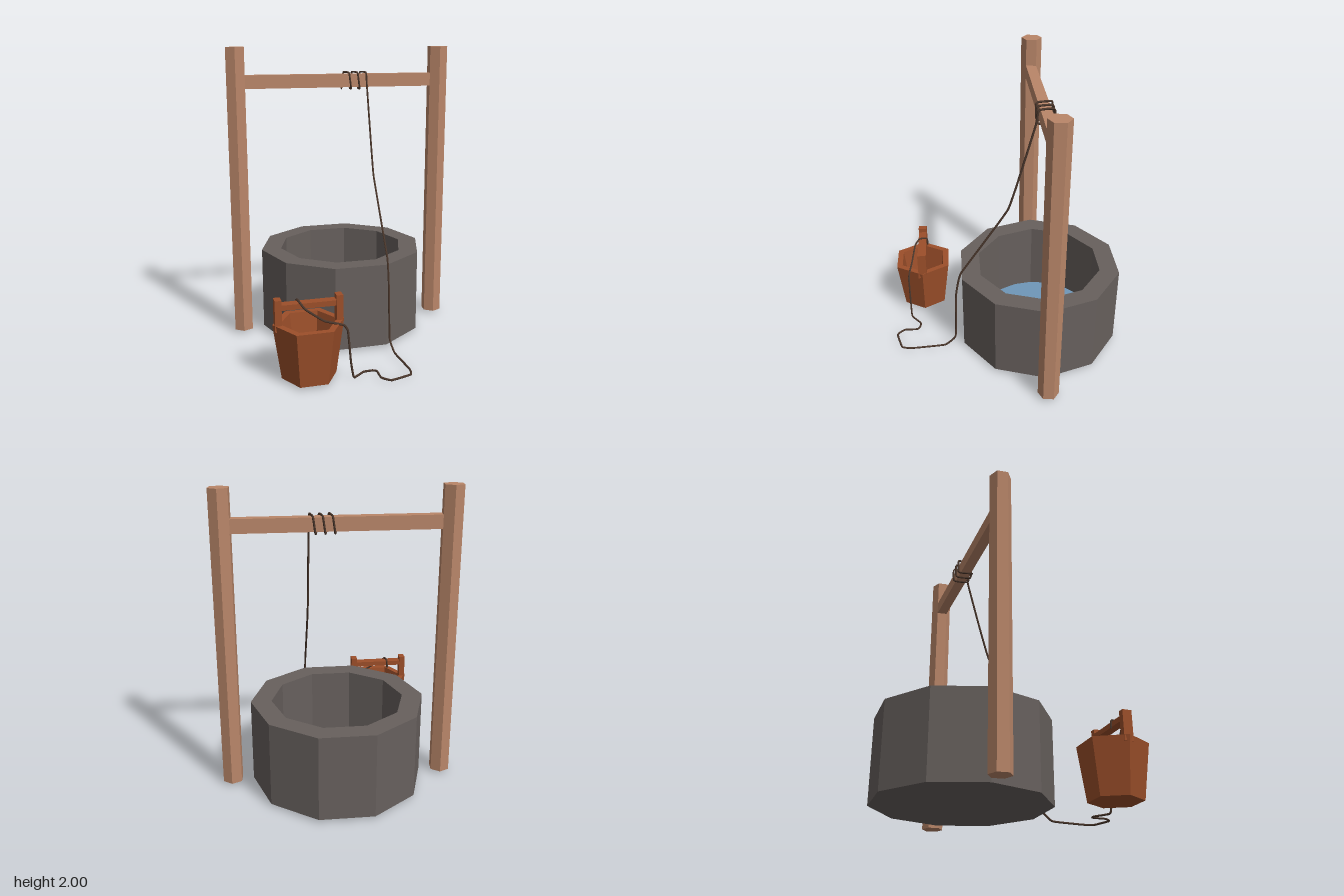
import * as THREE from 'three';

const material = (color) => new THREE.MeshStandardMaterial({ color, flatShading: true });

export function createModel() {
  const model = new THREE.Group();
  const wood = material(0xb98669);
  const bucketWood = material(0x9c4f2a);
  const stone = material(0x67605d);
  const water = material(0x6f97b8);
  const ropeFibre = material(0x49362b);

  const add = (parent, name, geometry, mat, x = 0, y = 0, z = 0) => {
    const mesh = new THREE.Mesh(geometry, mat);
    mesh.name = name;
    mesh.position.set(x, y, z);
    parent.add(mesh);
    return mesh;
  };

  // Hollow faceted vessel, with corners on the x axis
  const vessel = (sides, profile) => new THREE.LatheGeometry(
    profile.map(([r, y]) => new THREE.Vector2(r, y)), sides, Math.PI / sides, Math.PI * 2);

  // Stone well and the water in it
  add(model, 'wellWall', vessel(10, [
    [0, 0.02], [0.577, 0.02], [0.577, 0.59], [0.44, 0.59], [0.44, 0.06], [0, 0.06],
  ]), stone, 0, 0, -0.25);
  add(model, 'water', new THREE.CircleGeometry(0.42, 20).rotateX(-Math.PI / 2), water, 0, 0.1, -0.25);

  // Posts and crossbeam
  for (const [name, x] of [['leftPost', 0.716], ['rightPost', -0.722]]) {
    const post = add(model, name, new THREE.CylinderGeometry(0.071, 0.071, 1.98, 6), wood, x, 1.01, -0.25);
    post.rotation.y = -0.1;
  }
  const beam = add(model, 'crossbeam', new THREE.BoxGeometry(1.36, 0.09, 0.071), wood, 0, 1.77, -0.25);
  beam.rotation.y = 0.009;

  // Bucket with two ears and a handle bar
  const bucket = new THREE.Group();
  bucket.name = 'bucket';
  bucket.position.set(-0.42, 0, 0.593);
  model.add(bucket);
  add(bucket, 'bucketBody', vessel(6, [
    [0, 0.02], [0.173, 0.02], [0.224, 0.375], [0.178, 0.375], [0.135, 0.08], [0, 0.08],
  ]), bucketWood);
  for (const side of [-1, 1]) {
    add(bucket, side > 0 ? 'leftEar' : 'rightEar',
      new THREE.BoxGeometry(0.042, 0.2, 0.062), bucketWood, side * 0.19, 0.435, 0);
  }
  add(bucket, 'handleBar', new THREE.BoxGeometry(0.35, 0.034, 0.06), bucketWood, 0, 0.487, 0);

  // Rope: wound round the beam, down over the well, along the ground, up to the handle
  const points = [];
  const corners = [[-0.053, 0.05], [-0.053, -0.05], [0.053, -0.05], [0.053, 0.05]]; // y, z
  for (let i = 0; i < 12; i++) {
    const [dy, dz] = corners[i % 4];
    points.push([0.005 + i * 0.0152, 1.77 + dy, -0.253 + dz]);
  }
  points.push(
    [0.175, 1.72, -0.185], [0.175, 1.14, -0.02], [0.175, 0.64, 0.305], [0.175, 0.45, 0.345],
    [0.18, 0.09, 0.36], [0.19, 0.02, 0.44], [0.208, 0.018, 0.68], [0.19, 0.018, 0.75],
    [0.05, 0.018, 0.79], [0, 0.018, 0.74], [0, 0.018, 0.65], [-0.02, 0.015, 0.63],
    [-0.08, 0.009, 0.622], [-0.16, 0.015, 0.69], [-0.18, 0.12, 0.695], [-0.2, 0.33, 0.697],
    [-0.225, 0.37, 0.693], [-0.34, 0.4, 0.674], [-0.45, 0.475, 0.65], [-0.48, 0.513, 0.615],
    [-0.487, 0.513, 0.56], [-0.49, 0.455, 0.555]);
  const path = new THREE.CatmullRomCurve3(
    points.map((p) => new THREE.Vector3(...p)), false, 'catmullrom', 0.15);
  path.arcLengthDivisions = 800;
  add(model, 'rope', new THREE.TubeGeometry(path, 360, 0.007, 6), ropeFibre);

  return model;
}
